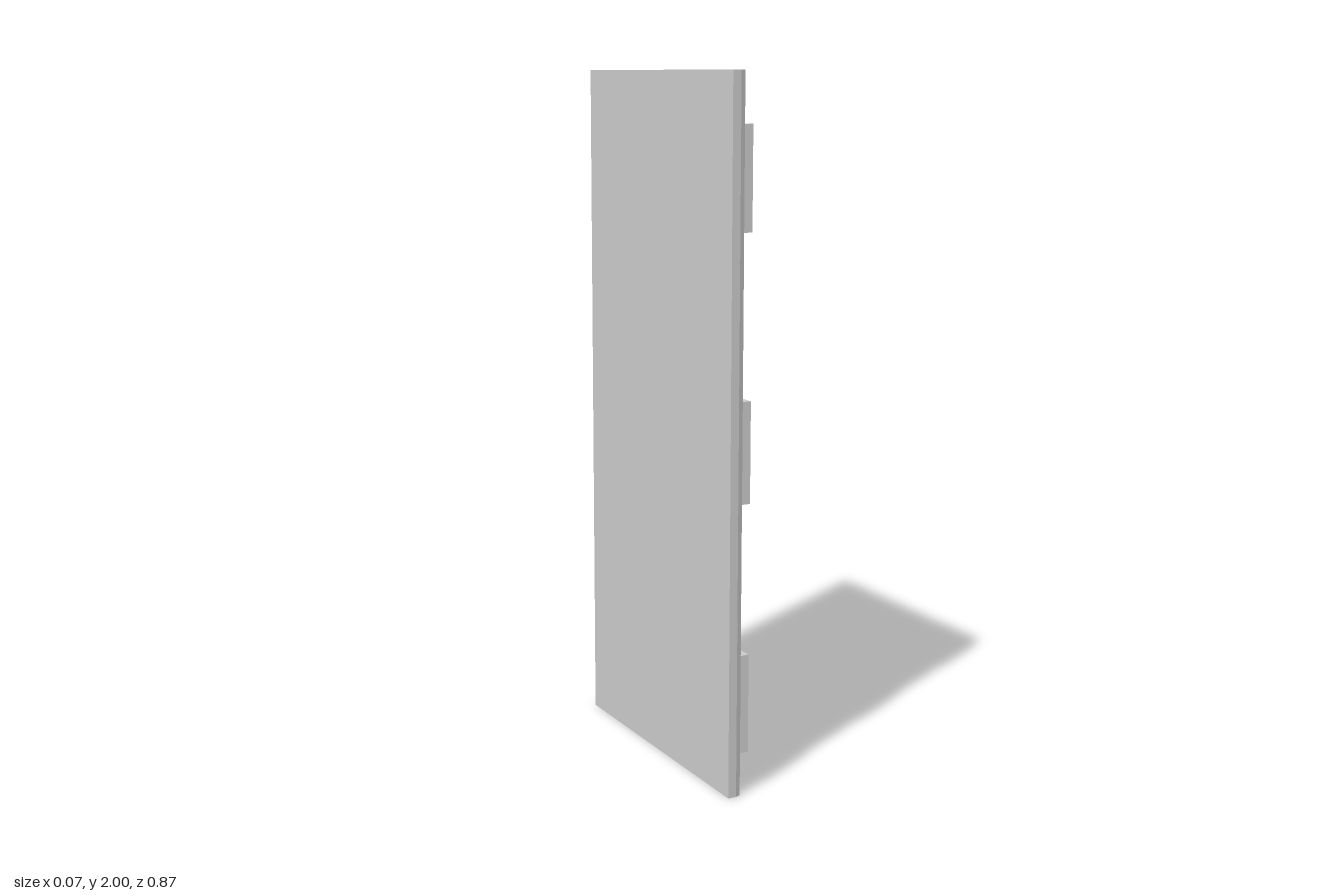
import * as THREE from 'three';

export function createModel() {
  const door = new THREE.Group();
  door.name = 'plankDoor';
  const material = new THREE.MeshStandardMaterial({ color: 0xcccccc, flatShading: true });
  const add = (name, geometry, x = 0, y = 0, z = 0) => {
    const mesh = new THREE.Mesh(geometry, material);
    mesh.name = name;
    mesh.position.set(x, y, z);
    door.add(mesh);
    return mesh;
  };

  // Plank panel: plan outline with eased edges and two V grooves, extruded upwards
  const back = -0.037, face = 0.003;
  const outline = [[back, 0.437], [-0.012, 0.437], [face, 0.431]];
  for (const z of [0.152, -0.134]) {
    outline.push([face, z + 0.006], [-0.004, z + 0.004], [-0.014, z], [-0.004, z - 0.004], [face, z - 0.006]);
  }
  outline.push([face, -0.413], [-0.012, -0.42], [back, -0.42]);
  const plan = new THREE.Shape(outline.map(([x, z]) => new THREE.Vector2(x, -z)));
  const planks = new THREE.ExtrudeGeometry(plan, { depth: 2, bevelEnabled: false });
  planks.rotateX(-Math.PI / 2);
  add('planks', planks);

  // Three cross battens
  for (const y of [0.263, 0.978, 1.718]) {
    add('batten', new THREE.BoxGeometry(0.03, 0.285, 0.831), 0.018, y, 0.0075);
  }

  // Lock case: square lathe with a sloped rim and a sunken middle
  const profile = [[0.0735, 0], [0.0735, 0.014], [0.062, 0.022], [0.058, 0.022], [0.056, 0.012], [0, 0.012]]
    .map(([half, h]) => new THREE.Vector2(half * Math.SQRT2, h));
  const lockCase = new THREE.LatheGeometry(profile, 4, Math.PI / 4);
  lockCase.rotateZ(-Math.PI / 2);
  add('lockCase', lockCase, face, 1.217, -0.339);

  // Handle: pivot, round boss, thin lever past the door edge, and a small catch
  const disc = (name, radius, length, x, y, z) => {
    const geometry = new THREE.CylinderGeometry(radius, radius, length, 12);
    geometry.rotateZ(-Math.PI / 2);
    add(name, geometry, x, y, z);
  };
  disc('handlePivot', 0.006, 0.022, 0.024, 1.217, -0.3);
  disc('handleBoss', 0.013, 0.005, 0.0335, 1.217, -0.3);
  add('lever', new THREE.BoxGeometry(0.003, 0.009, 0.137), 0.0325, 1.217, -0.3685);
  disc('catchPin', 0.005, 0.019, 0.0235, 1.211, -0.348);

  return door;
}
